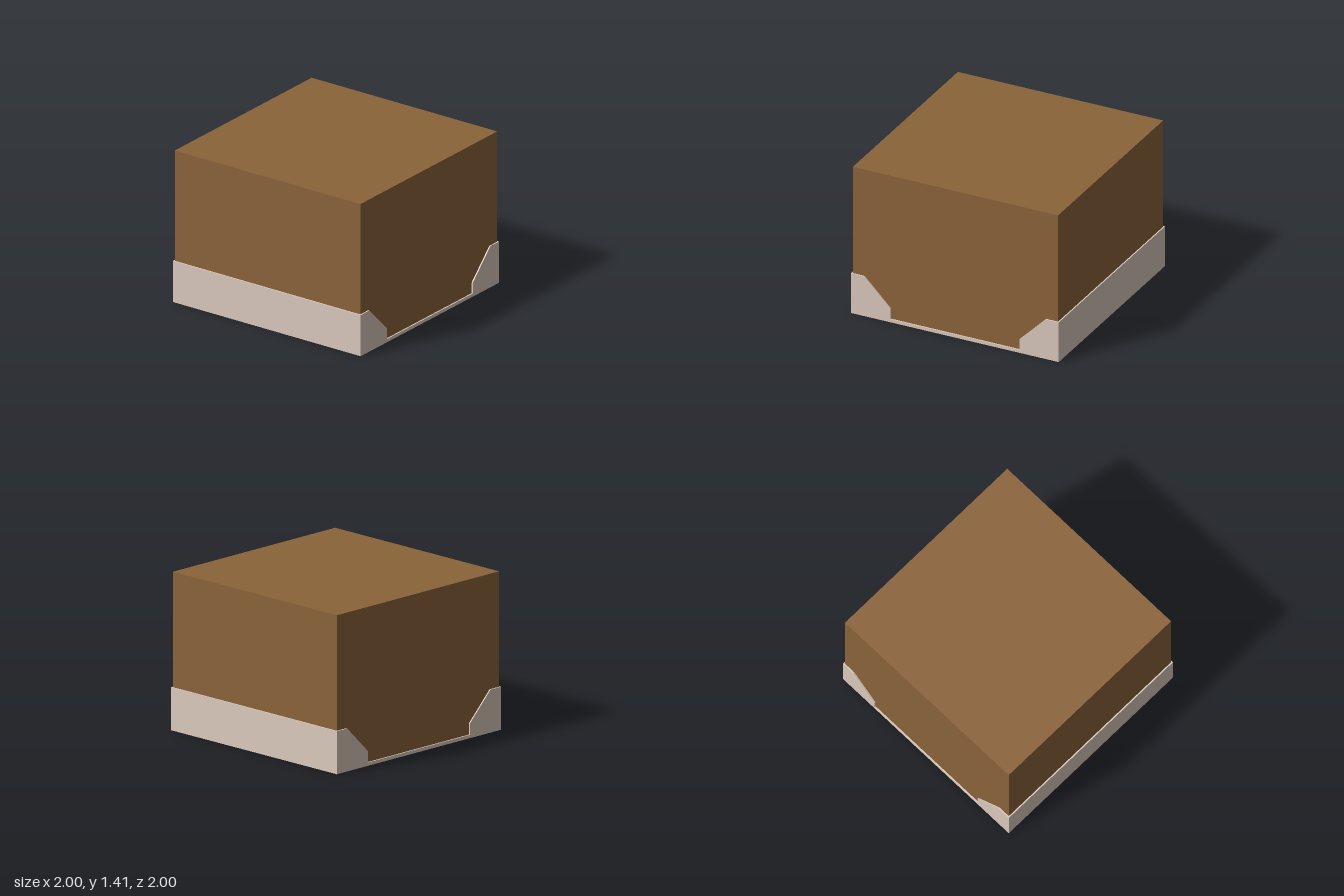
import * as THREE from 'three';

export function createModel() {
  const model = new THREE.Group();
  const brown = new THREE.MeshStandardMaterial({ color: 0x8b643a, flatShading: true });
  const cream = new THREE.MeshStandardMaterial({ color: 0xdccabe, flatShading: true });
  const wall = 0.012, trayHeight = 0.383, floorHeight = 0.03, top = 1.41;

  const add = (parent, name, geometry, material, x, y, z) => {
    const mesh = new THREE.Mesh(geometry, material);
    mesh.name = name;
    mesh.position.set(x, y, z);
    parent.add(mesh);
  };

  // Solid block resting in the tray
  const inner = 2 - 2 * wall;
  add(model, 'block', new THREE.BoxGeometry(inner, top - floorHeight, inner), brown,
    0, (top + floorHeight) / 2, 0);

  // Shallow tray: floor, full side walls and cut-away end walls
  const tray = new THREE.Group();
  tray.name = 'tray';
  model.add(tray);
  add(tray, 'trayFloor', new THREE.BoxGeometry(inner, floorHeight, inner), cream, 0, floorHeight / 2, 0);

  // End wall outline: low lip in the middle, sloped tabs at the corners
  const half = [[0.62, floorHeight], [0.62, 0.13], [0.873, trayHeight], [1, trayHeight], [1, 0]];
  const outline = [...half, ...half.map(([x, y]) => [-x, y]).reverse()];
  const endShape = new THREE.Shape(outline.map(([x, y]) => new THREE.Vector2(x, y)));
  const endGeometry = new THREE.ExtrudeGeometry(endShape, { depth: wall, bevelEnabled: false });
  add(tray, 'trayFront', endGeometry, cream, 0, 0, 1 - wall);
  add(tray, 'trayBack', endGeometry, cream, 0, 0, -1);

  for (const [name, side] of [['trayLeftWall', 1], ['trayRightWall', -1]]) {
    add(tray, name, new THREE.BoxGeometry(wall, trayHeight, inner), cream,
      side * (1 - wall / 2), trayHeight / 2, 0);
  }
  return model;
}
